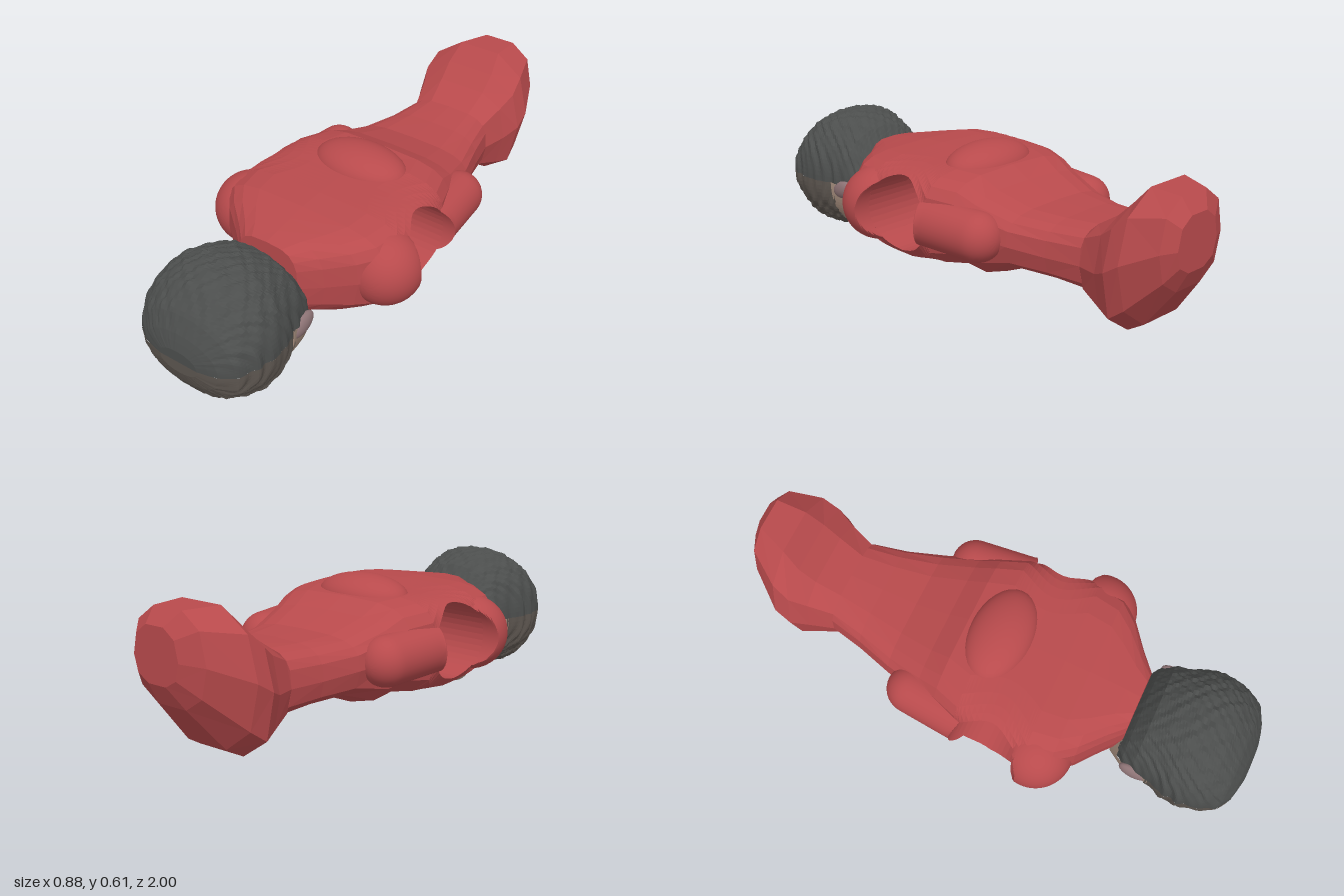
import * as THREE from 'three';
import { toCreasedNormals } from 'three/addons/utils/BufferGeometryUtils.js';

const RED = 0xb84a4c, HAIR = 0x4c4e4d, BROW = 0x5c554f, SKIN = 0xa58d7d;

// Round bore running crosswise through torso and arms
const BORE = { y: 0.33, z: 0.1, r: 0.142 };
const boreHalf = (d) => {
  const h = Math.sqrt(Math.max(0, BORE.r ** 2 - d * d));
  return h < 1e-3 ? 0 : h;
};

// Rows: z, top, bottom, half width, height of the widest line, roundness, sideways shift
const BODY = [
  [-1.0, 0.56, 0.36, 0.1, 0.45, 0.8, 0.05], [-0.96, 0.615, 0.28, 0.16, 0.44, 0.8, 0.03],
  [-0.84, 0.62, 0.12, 0.235, 0.38, 0.85, 0.005], [-0.78, 0.55, 0.085, 0.24, 0.34, 0.75, 0],
  [-0.72, 0.49, 0.13, 0.21, 0.31, 0.65, 0], [-0.63, 0.43, 0.18, 0.18, 0.3, 0.6, 0],
  [-0.5, 0.42, 0.19, 0.21, 0.3, 0.6, 0], [-0.36, 0.42, 0.19, 0.255, 0.31, 0.6, 0],
  [-0.22, 0.46, 0.13, 0.29, 0.32, 0.55, 0], [-0.14, 0.5, 0.145, 0.31, 0.33, 0.55, 0],
  [-0.042, 0.505, 0.13, 0.345, 0.33, 0.5, 0], [0.1, 0.5, 0.11, 0.37, 0.33, 0.5, 0],
  [0.242, 0.5, 0.11, 0.37, 0.33, 0.5, 0], [0.34, 0.495, 0.14, 0.35, 0.33, 0.5, 0],
  [0.41, 0.485, 0.15, 0.29, 0.33, 0.55, 0], [0.48, 0.475, 0.165, 0.2, 0.32, 0.6, 0],
  [0.54, 0.465, 0.18, 0.13, 0.32, 0.6, 0],
];
const HEAD = [
  [0.505, 0.3, 0.025, 0.14, 0.2], [0.56, 0.42, 0.035, 0.19, 0.26], [0.61, 0.49, 0.045, 0.21, 0.28],
  [0.68, 0.525, 0.055, 0.225, 0.28], [0.75, 0.54, 0.045, 0.25, 0.28], [0.82, 0.53, 0.04, 0.255, 0.28],
  [0.89, 0.495, 0.07, 0.24, 0.28], [0.95, 0.43, 0.11, 0.21, 0.27], [0.985, 0.36, 0.17, 0.15, 0.265],
  [1.0, 0.31, 0.22, 0.08, 0.265],
].map((row) => [...row, 0.9, 0]);

// Linear reading of a row table at any z
function rowAt(table, z) {
  let i = 0;
  while (i < table.length - 2 && z > table[i + 1][0]) i++;
  const a = table[i], b = table[i + 1], t = (z - a[0]) / (b[0] - a[0]);
  return a.map((v, k) => v + (b[k] - v) * t);
}

// Upper (side = 1) or lower (side = -1) half of a lofted form
function halfLoft(table, zs, side, { seg = 10, bore = false, rough = 0, soften = 0 } = {}) {
  const pos = [];
  const rings = zs.map((z) => {
    const [, top, bottom, w, mid, e0, shift] = rowAt(table, z);
    const e = e0 + soften;
    const high = side > 0 ? top - mid : mid - bottom;
    const h = bore ? boreHalf(z - BORE.z) : 0;
    const a0 = h ? Math.asin((h / high) ** (1 / e)) : 0;
    const pts = [];
    for (let j = 0; j <= seg; j++) {
      const a = a0 + (Math.PI - 2 * a0) * (j / seg);
      const c = Math.cos(a), s = Math.max(0, Math.sin(a));
      const k = 1 + rough * (Math.sin(31 * c + 13 * z) * Math.sin(95 * z + 9 * c) + 0.5 * Math.sin(67 * c + 140 * z));
      pts.push([shift + k * w * Math.sign(c) * Math.abs(c) ** e, mid + side * k * high * s ** e, z]);
    }
    return { pts, h, mid: [shift, mid, z] };
  });
  const tri = (a, b, c) => pos.push(...a, ...(side > 0 ? b : c), ...(side > 0 ? c : b));
  for (let i = 0; i < rings.length - 1; i++) {
    const p = rings[i], q = rings[i + 1];
    const last = p.h || q.h ? seg + 1 : seg; // close the section only along the bore
    for (let j = 0; j < last; j++) {
      const n = (j + 1) % (seg + 1);
      tri(p.pts[j], p.pts[n], q.pts[n]);
      tri(p.pts[j], q.pts[n], q.pts[j]);
    }
  }
  const first = rings[0], end = rings[rings.length - 1];
  for (let j = 0; j < seg; j++) {
    tri(first.mid, first.pts[j + 1], first.pts[j]);
    tri(end.mid, end.pts[j], end.pts[j + 1]);
  }
  const g = new THREE.BufferGeometry();
  g.setAttribute('position', new THREE.Float32BufferAttribute(pos, 3));
  g.computeVertexNormals();
  return g;
}

// Push vertices out of the bore, towards the front (dir 1) or back (dir -1)
function cutByBore(g, dir) {
  const p = g.attributes.position;
  for (let i = 0; i < p.count; i++) {
    const limit = BORE.z + dir * boreHalf(p.getY(i) - BORE.y);
    if (dir * (p.getZ(i) - limit) < 0) p.setZ(i, limit);
  }
  return toCreasedNormals(g, 0.6);
}

function range(a, b, n) {
  return Array.from({ length: n + 1 }, (_, i) => a + ((b - a) * i) / n);
}

export function createModel() {
  const root = new THREE.Group();
  const add = (name, geometry, color, flat = false) => {
    const mesh = new THREE.Mesh(geometry, new THREE.MeshStandardMaterial({ color, flatShading: flat }));
    mesh.name = name;
    root.add(mesh);
    return mesh;
  };
  const ball = (name, color, center, radii) => {
    const mesh = add(name, new THREE.SphereGeometry(1, 28, 18), color);
    mesh.position.set(...center);
    mesh.scale.set(...radii);
    return mesh;
  };

  // Coarsely faceted feet, then torso and legs, finely divided around the bore
  const rowZ = BODY.map((r) => r[0]);
  const feetZ = rowZ.filter((z) => z < -0.6);
  const boreZ = range(0, Math.PI, 20).map((a) => BORE.z - BORE.r * Math.cos(a));
  const bodyZ = [...rowZ.filter((z) => z > -0.65 && (z < -0.05 || z > 0.25)), ...boreZ].sort((a, b) => a - b);
  add('feetTop', halfLoft(BODY, feetZ, 1, { seg: 5 }), RED, true);
  add('feetBottom', halfLoft(BODY, feetZ, -1, { seg: 5 }), RED, true);
  add('bodyBack', halfLoft(BODY, bodyZ, 1, { bore: true }), RED, true);
  add('bodyFront', halfLoft(BODY, bodyZ, -1, { seg: 7, bore: true, soften: 0.15 }), RED, true);

  // Shallow dome on the back, kept clear of the bore
  const dome = new THREE.SphereGeometry(1, 32, 10, 0, Math.PI * 2, 0, Math.PI / 2);
  dome.scale(0.19, 0.08, 0.12).translate(0, 0.48, -0.01);
  add('backBulge', dome, RED);

  // Shoulders and forearms, hollowed where the bore passes
  for (const s of [1, -1]) {
    const side = s > 0 ? 'left' : 'right';
    const shoulder = new THREE.SphereGeometry(0.14, 48, 36).rotateX(Math.PI / 2);
    shoulder.translate(s * 0.3, 0.325, 0.265);
    add(side + 'Shoulder', cutByBore(shoulder, 1), RED);

    const arm = new THREE.CapsuleGeometry(0.092, 0.26, 10, 32, 12).rotateX(Math.PI / 2);
    arm.rotateY(s * 0.1);
    arm.translate(s * 0.293, 0.325, -0.12);
    add(side + 'Forearm', cutByBore(arm, -1), RED);
  }

  // Head, face down: hair above, forehead hair and bare face below
  const hairy = { seg: 48, rough: 0.018 };
  add('hair', halfLoft(HEAD, range(0.535, 1, 50), 1, hairy), HAIR, true);
  add('foreheadHair', halfLoft(HEAD, range(0.67, 1, 38), -1, hairy), BROW, true);
  add('face', halfLoft(HEAD, range(0.505, 0.68, 10), -1, { seg: 48 }), SKIN, true);
  add('nape', halfLoft(HEAD, range(0.505, 0.54, 3), 1, { seg: 48 }), SKIN, true);

  // Facial features
  const nose = ball('nose', SKIN, [-0.03, 0.038, 0.615], [0.036, 0.034, 0.06]);
  nose.rotation.x = -0.35;
  ball('mouth', 0x9a7470, [-0.01, 0.04, 0.545], [0.06, 0.015, 0.015]);
  for (const s of [1, -1]) {
    const ear = ball(s > 0 ? 'leftEar' : 'rightEar', 0x8d7375, [s * 0.208, 0.26, 0.62], [0.022, 0.035, 0.06]);
    ear.rotation.x = 0.3;
    ball(s > 0 ? 'leftEye' : 'rightEye', 0x80695f, [s * 0.085, 0.075, 0.655], [0.04, 0.018, 0.018]);
  }
  return root;
}
